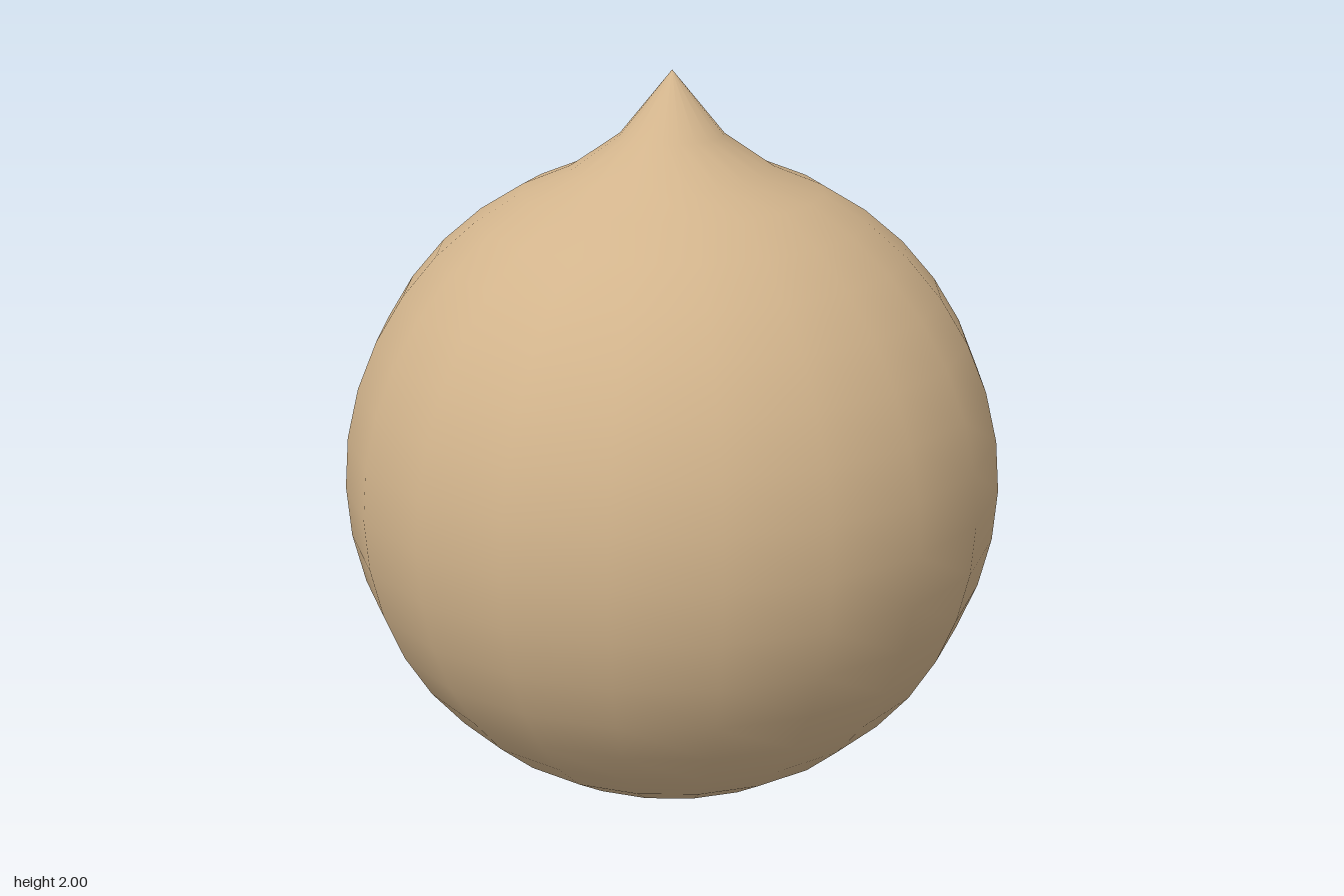
import * as THREE from 'three';

const RADIUS = 0.89;
const STEPS = 20;

export function createModel() {
  const group = new THREE.Group();
  group.name = 'pointedBall';

  // Half-circle profile from bottom to top, with the top two rings pulled up into a tip
  const profile = [];
  for (let i = 0; i <= STEPS; i++) {
    const a = (i / STEPS) * Math.PI;
    const r = i === 0 || i === STEPS ? 0 : RADIUS * Math.sin(a);
    profile.push(new THREE.Vector2(r, RADIUS - RADIUS * Math.cos(a)));
  }
  profile[STEPS - 1].y = 1.83;
  profile[STEPS].y = 2;

  // Smooth round body with its pointed tip
  const body = new THREE.Mesh(
    new THREE.LatheGeometry(profile, 20),
    new THREE.MeshStandardMaterial({ color: 0xd2b48c })
  );
  body.name = 'body';
  group.add(body);
  return group;
}
